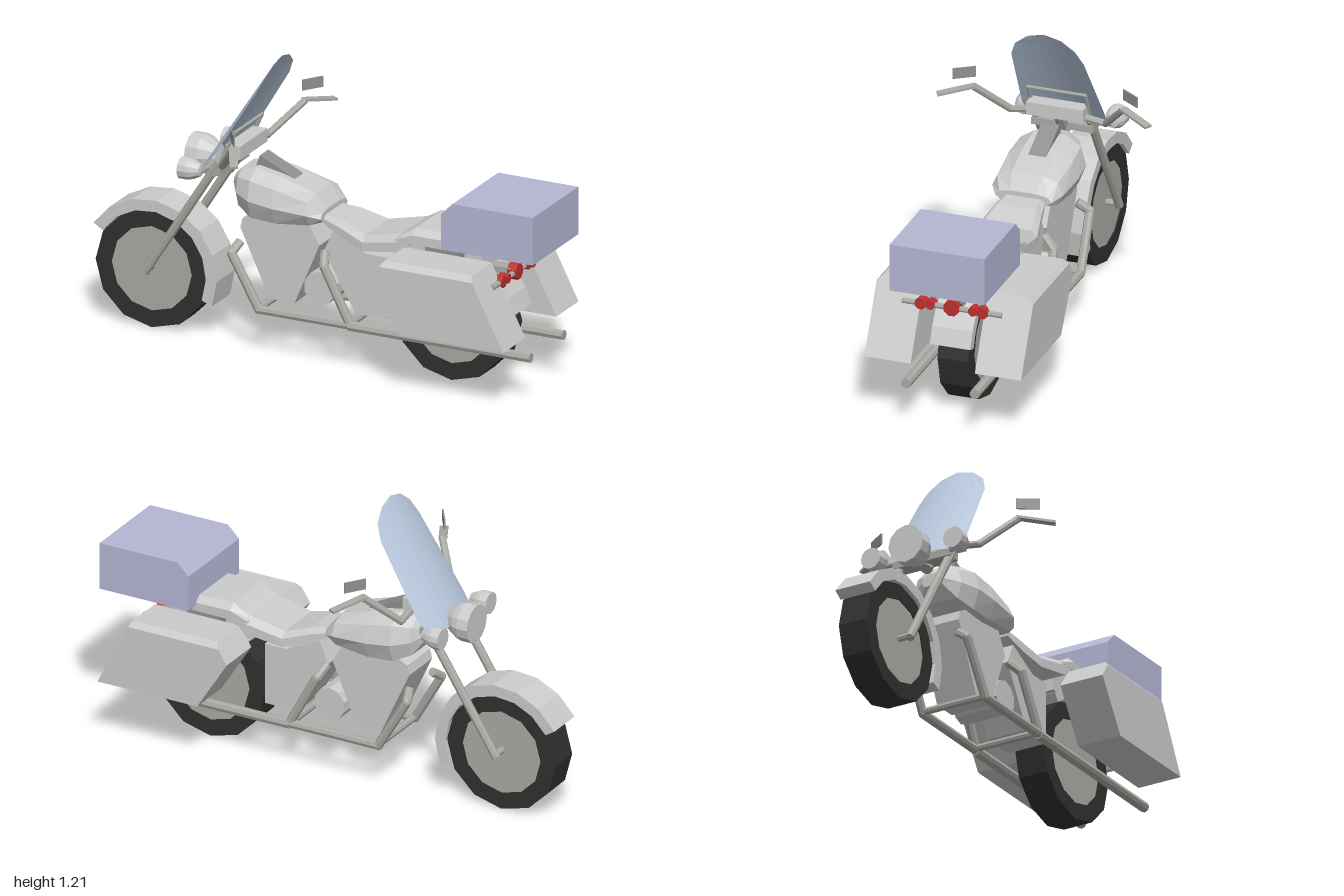
import * as THREE from 'three';
import { ParametricGeometry } from 'three/addons/geometries/ParametricGeometry.js';

const material = (color, side = THREE.FrontSide) =>
  new THREE.MeshStandardMaterial({ color, side, flatShading: true });
const grey = material(0xcccccc);
const metal = material(0xaaaaa4);
const dark = material(0x909090);
const rubber = material(0x303030);
const blue = material(0xb4b7d4);
const glass = material(0xb6c6da, THREE.DoubleSide);
const red = material(0xbf3030);

export function createModel() {
  const model = new THREE.Group();

  const add = (name, geometry, mat, x = 0, y = 0, z = 0) => {
    const mesh = new THREE.Mesh(geometry, mat);
    mesh.name = name;
    mesh.position.set(x, y, z);
    model.add(mesh);
    return mesh;
  };
  const box = (name, mat, x0, x1, y0, y1, z0, z1) =>
    add(name, new THREE.BoxGeometry(x1 - x0, y1 - y0, z1 - z0), mat, (x0 + x1) / 2, (y0 + y1) / 2, (z0 + z1) / 2);

  // side profile in x, y extruded from z0 to z1
  const slab = (name, mat, points, z0, z1) => {
    const shape = new THREE.Shape(points.map(p => new THREE.Vector2(...p)));
    return add(name, new THREE.ExtrudeGeometry(shape, { depth: z1 - z0, bevelEnabled: false }), mat, 0, 0, z0);
  };

  // straight tubes with rounded elbows through a list of points
  const pipe = (name, mat, radius, points) => {
    const group = new THREE.Group();
    group.name = name;
    const p = points.map(q => new THREE.Vector3(...q));
    for (let i = 1; i < p.length; i++) {
      const dir = p[i].clone().sub(p[i - 1]);
      const tube = new THREE.Mesh(new THREE.CylinderGeometry(radius, radius, dir.length(), 8), mat);
      tube.position.copy(p[i]).add(p[i - 1]).multiplyScalar(0.5);
      tube.quaternion.setFromUnitVectors(new THREE.Vector3(0, 1, 0), dir.normalize());
      group.add(tube);
      if (i < p.length - 1) {
        const elbow = new THREE.Mesh(new THREE.SphereGeometry(radius, 8, 6), mat);
        elbow.position.copy(p[i]);
        group.add(elbow);
      }
    }
    model.add(group);
  };

  // loft along x: stations are [x, bottom, top, half width], ring is [z, y] in 0..1 units
  const loft = (name, mat, stations, ring) => {
    const n = ring.length, pos = [], index = [];
    for (const [x, y0, y1, w] of stations)
      for (const [z, y] of ring) pos.push(x, y0 + (y1 - y0) * y, z * w);
    for (let s = 0; s < stations.length - 1; s++)
      for (let i = 0; i < n; i++) {
        const a = s * n + i, b = s * n + (i + 1) % n;
        index.push(a, b, a + n, b, b + n, a + n);
      }
    const end = (stations.length - 1) * n;
    for (let i = 1; i < n - 1; i++) {
      index.push(0, i + 1, i);
      index.push(end, end + i, end + i + 1);
    }
    const g = new THREE.BufferGeometry();
    g.setAttribute('position', new THREE.Float32BufferAttribute(pos, 3));
    g.setIndex(index);
    g.computeVertexNormals();
    return add(name, g, mat);
  };

  // wheels
  const wheel = (name, x, w) => {
    const profile = [[0.178, -w], [0.248, -w], [0.248, w], [0.178, w], [0.178, -w]];
    const tyre = new THREE.LatheGeometry(profile.map(p => new THREE.Vector2(...p)), 12);
    add(name + 'Tyre', tyre, rubber, x, 0.25).rotation.x = Math.PI / 2;
    const disc = new THREE.CylinderGeometry(0.18, 0.18, w * 1.9, 12);
    add(name + 'Disc', disc, metal, x, 0.25).rotation.x = Math.PI / 2;
  };
  wheel('frontWheel', -0.755, 0.065);
  wheel('rearWheel', 0.572, 0.065);
  pipe('frontAxle', metal, 0.014, [[-0.755, 0.26, -0.125], [-0.755, 0.26, 0.125]]);

  // fenders: arcs in the side plane
  const fender = (name, x, r0, r1, from, to, w) => {
    const points = [];
    for (const [r, a, b] of [[r1, from, to], [r0, to, from]])
      for (let i = 0; i <= 8; i++) {
        const t = THREE.MathUtils.degToRad(a + (b - a) * i / 8);
        points.push([x + Math.cos(t) * r, 0.25 + Math.sin(t) * r]);
      }
    slab(name, grey, points, -w, w);
  };
  fender('frontFender', -0.755, 0.247, 0.295, -22, 148, 0.08);
  fender('rearFender', 0.57, 0.25, 0.29, 14, 130, 0.085);

  // engine, gearbox and round cover
  slab('engine', grey, [[-0.35, 0.5], [-0.22, 0.22], [-0.11, 0.22], [0, 0.48], [-0.05, 0.57], [-0.28, 0.57], [-0.34, 0.54]], -0.09, 0.09);
  slab('gearbox', grey, [[0.02, 0.46], [0.16, 0.22], [0.31, 0.22], [0.31, 0.48], [0.21, 0.48], [0.06, 0.55]], -0.09, 0.09);
  add('engineCover', new THREE.CylinderGeometry(0.07, 0.07, 0.205, 10), grey, 0, 0.3, -0.012).rotation.x = Math.PI / 2;

  // tank, instrument wedge and seats
  loft('tank', grey, [
    [-0.4, 0.65, 0.7, 0.05], [-0.36, 0.59, 0.74, 0.11], [-0.29, 0.56, 0.755, 0.15],
    [-0.18, 0.555, 0.735, 0.158], [-0.03, 0.57, 0.69, 0.15], [0.02, 0.585, 0.63, 0.12],
  ], [[-0.45, 1], [0.45, 1], [0.85, 0.8], [1, 0.4], [0.8, 0], [-0.8, 0], [-1, 0.4], [-0.85, 0.8]]);
  slab('instrumentPanel', dark, [[-0.31, 0.74], [-0.1, 0.69], [-0.1, 0.705], [-0.29, 0.795]], -0.037, 0.037);
  const seatRing = [[-0.8, 1], [0.8, 1], [1, 0.6], [1, 0], [-1, 0], [-1, 0.6]];
  loft('riderSeat', grey, [
    [0.02, 0.575, 0.61, 0.09], [0.1, 0.54, 0.6, 0.105], [0.21, 0.505, 0.565, 0.13],
    [0.37, 0.53, 0.6, 0.14], [0.42, 0.56, 0.62, 0.14],
  ], seatRing);
  loft('passengerSeat', grey, [[0.36, 0.575, 0.59, 0.14], [0.44, 0.575, 0.638, 0.14], [0.61, 0.575, 0.635, 0.14]], seatRing);
  box('seatBase', grey, 0.37, 0.72, 0.48, 0.58, -0.085, 0.085);

  // luggage
  slab('topCase', blue, [[0.595, 0.6], [1, 0.6], [1, 0.8], [0.645, 0.8], [0.595, 0.75]], -0.2, 0.2);
  box('rackPlate', metal, 0.66, 0.85, 0.575, 0.6, -0.07, 0.07);
  const bagProfile = [[0.345, 0.475], [0.48, 0.263], [0.935, 0.263], [0.785, 0.557], [0.4, 0.557]];
  for (const s of [-1, 1]) {
    box('rackRail', dark, 0.49, 0.64, 0.51, 0.575, s * 0.11 - 0.025, s * 0.11 + 0.025);
    // saddlebag: the outer top edge is bevelled
    const zi = s * 0.135, zm = s * 0.308, zo = s * 0.33;
    slab('saddlebag', grey, bagProfile, Math.min(zi, zm), Math.max(zi, zm));
    const side = slab('saddlebagSide', grey, bagProfile, Math.min(zm, zo), Math.max(zm, zo));
    const pos = side.geometry.attributes.position;
    for (let i = 0; i < pos.count; i++)
      if (pos.getY(i) > 0.55 && Math.abs(pos.getZ(i) + side.position.z) > 0.32) {
        pos.setY(i, 0.535);
        pos.setX(i, pos.getX(i) + (pos.getX(i) > 0.5 ? 0.011 : -0.015));
      }
    side.geometry.computeVertexNormals();
  }

  // exhausts, frame and forks, mirrored
  for (const s of [-1, 1]) {
    pipe('exhaust', metal, 0.019, [[-0.35, 0.44, s * 0.09], [-0.365, 0.405, s * 0.138], [-0.24, 0.19, s * 0.145], [0.2, 0.19, s * 0.145]]);
    pipe('silencer', metal, 0.021, [[0.16, 0.187, s * 0.145], [0.965, 0.187, s * 0.145]]);
    pipe('frameTube', metal, 0.019, [[0.025, 0.46, s * 0.09], [0.045, 0.415, s * 0.138], [0.16, 0.2, s * 0.145]]);
    pipe('fork', metal, 0.018, [[-0.76, 0.25, s * 0.115], [-0.43, 0.77, s * 0.115]]);

    // handlebar, flat grip, thin angled mirror and screen bracket
    pipe('handlebar', metal, 0.015, [[-0.37, 0.81, s * 0.08], [-0.375, 0.79, s * 0.2], [-0.265, 0.917, s * 0.315]]);
    const grip = add('grip', new THREE.BoxGeometry(0.034, 0.01, 0.155), metal, -0.235, 0.905, s * 0.378);
    grip.lookAt(-0.2, 0.892, s * 0.443);
    const mirror = add('mirror', new THREE.BoxGeometry(0.006, 0.045, 0.095), dark, -0.252, 0.977, s * 0.35);
    mirror.rotation.y = s * 0.6;
    pipe('screenBracket', metal, 0.008, [[-0.45, 0.71, s * 0.12], [-0.36, 0.905, s * 0.12]]);
  }
  for (const x of [-0.24, 0.16])
    pipe('frameCrossTube', metal, 0.015, [[x, 0.195, -0.145], [x, 0.195, 0.145]]);
  pipe('screenCrossRail', metal, 0.007, [[-0.36, 0.905, -0.125], [-0.36, 0.905, 0.125]]);
  box('handlebarClamp', grey, -0.4, -0.335, 0.795, 0.85, -0.12, 0.12);
  box('forkClamp', metal, -0.49, -0.42, 0.715, 0.745, -0.13, 0.13);
  pipe('steeringNeck', metal, 0.025, [[-0.45, 0.7, 0], [-0.37, 0.82, 0]]);

  // lamps: bowls facing forward
  const lamp = (name, r, length, x, z) => {
    const profile = [[0, 0], [r * 0.55, 0.04 * length], [r * 0.9, 0.4 * length], [r, 0.6 * length], [r, length], [0, length]];
    const g = new THREE.LatheGeometry(profile.map(p => new THREE.Vector2(...p)), 12);
    add(name, g, grey, x, 0.75, z).rotation.z = Math.PI / 2;
  };
  lamp('headlamp', 0.08, 0.125, -0.48, 0);
  lamp('spotLamp', 0.045, 0.09, -0.47, 0.19);
  lamp('spotLamp', 0.045, 0.09, -0.47, -0.19);
  pipe('lampBar', metal, 0.01, [[-0.48, 0.74, -0.19], [-0.48, 0.74, 0.19]]);

  // windscreen: rows of [height, half width], bowed backwards at the sides
  const rows = [[0.74, 0.165], [0.8, 0.174], [1.09, 0.153], [1.153, 0.127], [1.198, 0.072], [1.216, 0.004]];
  add('windscreen', new ParametricGeometry((u, v, target) => {
    const [y, w] = rows[Math.round(v * 5)];
    const z = (u * 2 - 1) * w;
    target.set(-0.522 + (y - 0.74) * 0.655 + 1.6 * z * z, y, z);
  }, 8, 5), glass);

  // tail lamps on a cross bar
  pipe('tailBar', metal, 0.012, [[0.825, 0.48, -0.21], [0.825, 0.48, 0.21]]);
  box('tailBracket', metal, 0.7, 0.815, 0.47, 0.5, -0.03, 0.03);
  for (const [z, r] of [[0, 0.034], [0.13, 0.025], [-0.13, 0.025], [0.09, 0.02], [-0.09, 0.02]]) {
    const g = new THREE.CylinderGeometry(r, r, 0.04, 8).rotateY(Math.PI / 8);
    add('tailLamp', g, red, 0.82, 0.482, z).rotation.z = Math.PI / 2;
  }

  return model;
}
